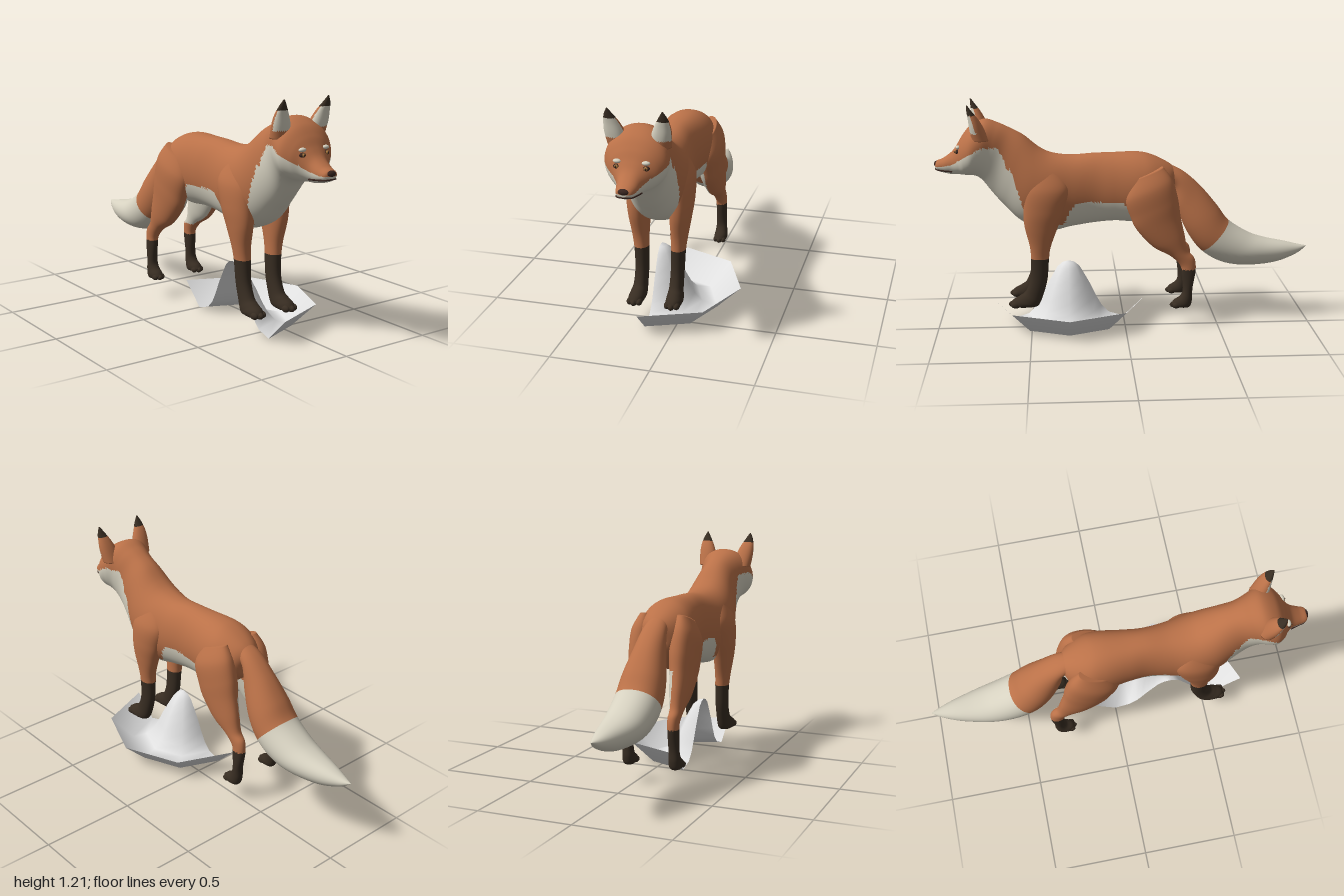
import * as THREE from 'three';

const mat = (name, color, side = THREE.FrontSide) => {
  const m = new THREE.MeshStandardMaterial({ color, side });
  m.name = name;
  return m;
};
const orange = mat('orange fur', 0xba7148);
const cream = mat('cream fur', 0xd6d1c0);
const black = mat('dark fur', 0x382d22);
const noseDark = mat('nose', 0x3a2620);
const amber = mat('iris', 0xa9793f);
const stone = mat('pale ground', 0xe0e0e0, THREE.DoubleSide);
const FUR = [orange, cream, black]; // paint indices 0, 1, 2

// Smooth interpolation through a list of rows
function smoothRows(rows, sub) {
  const out = [], last = rows.length - 1;
  const at = (i) => rows[Math.min(last, Math.max(0, i))];
  for (let i = 0; i < last; i++) {
    for (let k = 0; k < sub; k++) {
      const t = k / sub;
      out.push(rows[0].map((_, c) => {
        const [a, b, d, e] = [at(i - 1)[c], at(i)[c], at(i + 1)[c], at(i + 2)[c]];
        return b + 0.5 * t * (d - a + t * (2 * a - 5 * b + 4 * d - e + t * (3 * (b - d) + e - a)));
      }));
    }
  }
  out.push(rows[last]);
  return out;
}

// Skin over cross-sections [z1, y1, z2, y2, halfWidth, x]; paint picks the fur of each face
function loft(name, rows, paint, side = 1, n = 48, sub = 8) {
  const rings = smoothRows(rows.map((r) => (r.length < 6 ? [...r, 0] : r)), sub);
  const pos = [], faces = [[], [], []];
  for (const [z1, y1, z2, y2, w, x] of rings) {
    for (let j = 0; j < n; j++) {
      const a = (j / n) * Math.PI * 2, c = Math.cos(a) / 2, s = Math.sin(a);
      pos.push(side * x + Math.max(w, 0.001) * Math.sign(s) * Math.abs(s) ** 0.9,
        (y1 + y2) / 2 + (y1 - y2) * c, (z1 + z2) / 2 + (z1 - z2) * c);
    }
  }
  const ends = [rings[0], rings[rings.length - 1]];
  for (const [z1, y1, z2, y2, , x] of ends) pos.push(side * x, (y1 + y2) / 2, (z1 + z2) / 2);
  const tri = (...ids) => {
    const mid = [0, 1, 2].map((k) => ids.reduce((sum, i) => sum + pos[i * 3 + k], 0) / 3);
    const front = mid[2] - rings[Math.min(rings.length - 1, Math.floor(ids[0] / n))].reduce(
      (sum, v, k) => sum + (k === 0 || k === 2 ? v / 2 : 0), 0);
    faces[paint(side * mid[0], mid[1], mid[2], front)].push(...ids);
  };
  const m = rings.length;
  for (let j = 0; j < n; j++) {
    const k = (j + 1) % n;
    for (let i = 0; i < m - 1; i++) {
      tri(i * n + j, (i + 1) * n + j, i * n + k);
      tri((i + 1) * n + j, (i + 1) * n + k, i * n + k);
    }
    tri(m * n, j, k);
    tri(m * n + 1, (m - 1) * n + k, (m - 1) * n + j);
  }
  const g = new THREE.BufferGeometry();
  g.setAttribute('position', new THREE.Float32BufferAttribute(pos, 3));
  g.setIndex(faces.flat());
  let start = 0;
  faces.forEach((f, i) => {
    if (f.length) g.addGroup(start, f.length, i);
    start += f.length;
  });
  g.computeVertexNormals();
  const mesh = new THREE.Mesh(g, FUR);
  mesh.name = name;
  return mesh;
}

function ball(name, material, p, s) {
  const mesh = new THREE.Mesh(new THREE.SphereGeometry(1, 20, 14), material);
  mesh.position.set(...p);
  mesh.scale.set(...s);
  mesh.name = name;
  return mesh;
}

// Rump to nose: top point, bottom point, half width
const BODY = [
  [-.30, .82, -.26, .74, .03], [-.24, .87, -.25, .68, .09], [-.15, .915, -.18, .62, .135],
  [-.07, .932, -.08, .56, .145], [.06, .93, .05, .562, .125], [.16, .928, .16, .553, .115],
  [.28, .92, .28, .535, .13], [.38, .932, .40, .515, .152], [.45, .965, .54, .565, .148],
  [.53, 1.03, .64, .66, .125], [.60, 1.068, .70, .73, .115], [.66, 1.095, .745, .79, .127],
  [.73, 1.115, .775, .815, .148], [.80, 1.085, .80, .822, .152], [.845, 1.035, .835, .823, .125],
  [.875, .985, .865, .825, .088], [.905, .945, .90, .825, .062], [.95, .912, .94, .832, .05],
  [.985, .897, .98, .845, .038], [.995, .885, .995, .86, .015],
];
// Tip to root
const TAIL = [
  [-1, .4, -1, .398, .002], [-.955, .408, -.94, .355, .03], [-.88, .425, -.82, .313, .065],
  [-.76, .45, -.66, .302, .1], [-.67, .484, -.53, .323, .115], [-.566, .553, -.42, .388, .12],
  [-.5, .64, -.34, .495, .112], [-.41, .745, -.287, .63, .085], [-.31, .83, -.27, .74, .065],
  [-.20, .88, -.22, .78, .05],
];
// Top to toe: front point, back point, half width, distance from the middle
const FRONT_LEG = [
  [.50, .84, .35, .86, .03, .095], [.53, .75, .29, .76, .062, .105], [.535, .65, .32, .64, .063, .107],
  [.53, .56, .36, .54, .053, .106], [.505, .45, .395, .44, .042, .1], [.50, .37, .405, .37, .037, .095],
  [.505, .27, .415, .26, .034, .093], [.53, .2, .44, .17, .035, .093], [.56, .175, .46, .125, .04, .095],
  [.595, .155, .48, .113, .042, .097], [.615, .13, .53, .11, .036, .097],
];
const HIND_LEG = [
  [-.03, .80, -.2, .87, .04, .1], [0, .70, -.25, .80, .068, .11], [-.03, .60, -.28, .70, .07, .111],
  [-.065, .53, -.295, .60, .062, .114], [-.15, .44, -.315, .51, .05, .118], [-.24, .39, -.335, .42, .036, .12],
  [-.295, .335, -.37, .375, .03, .122], [-.303, .28, -.378, .31, .028, .124], [-.31, .2, -.362, .21, .028, .126],
  [-.295, .165, -.36, .145, .032, .127], [-.265, .145, -.345, .105, .036, .128], [-.248, .125, -.30, .102, .03, .128],
];
// Tip to base
const EAR = [
  [.812, 1.205, .806, 1.205, .003, .13], [.81, 1.17, .785, 1.175, .021, .128],
  [.805, 1.13, .755, 1.135, .037, .121], [.80, 1.08, .73, 1.09, .048, .112], [.79, 1.02, .70, 1.02, .052, .1],
];

// Height of the border between orange face and cream cheek, by z
const CHEEK = [[.62, .9], [.66, .98], [.75, .985], [.84, .93], [.9, .885], [.97, .868], [1.01, .86]];
function cheekLine(z) {
  const i = Math.max(1, CHEEK.findIndex((p) => p[0] >= z));
  const [a, b] = [CHEEK[i - 1], CHEEK[i]];
  return a[1] + (b[1] - a[1]) * (z - a[0]) / (b[0] - a[0]);
}
function paintBody(x, y, z) {
  if (z > .62 && y < cheekLine(z)) return 1;
  if (y < .87 && z > .5 + (y - .55) * .3) return 1;
  if (z > -.06 && z < .55 && y < .56 && Math.abs(x) < .1) return 1;
  return y < .685 - 14 * Math.max(0, Math.abs(z - .13) - .1) ** 2 ? 1 : 0;
}

export function createModel() {
  const model = new THREE.Group();
  model.name = 'foxOnGround';
  const fox = new THREE.Group();
  fox.name = 'fox';
  fox.position.x = -.108;
  model.add(fox);

  fox.add(loft('bodyAndHead', BODY, paintBody, 1, 72));
  fox.add(loft('tail', TAIL, (x, y, z) => (z < -.57 + (.553 - y) * .9 ? 1 : 0)));

  for (const s of [1, -1]) {
    const tag = s > 0 ? 'left' : 'right';
    fox.add(loft(tag + 'FrontLeg', FRONT_LEG, (x, y) => (y < .38 ? 2 : 0), s));
    fox.add(loft(tag + 'HindLeg', HIND_LEG, (x, y, z) =>
      (y < .315 ? 2 : x < .1 && y > .38 && y < .6 ? 1 : 0), s));
    fox.add(loft(tag + 'Ear', EAR, (x, y, z, front) =>
      (y > 1.155 ? 2 : front > .004 && y > 1.06 ? 1 : 0), s, 32));
    // Toes
    for (const t of [-1, 0, 1]) {
      const back = Math.abs(t) * .012;
      fox.add(ball(tag + 'FrontToe', black, [s * .097 + t * .024, .128, .597 - back], [.016, .018, .026]));
      fox.add(ball(tag + 'HindToe', black, [s * .128 + t * .021, .118, -.262 - back], [.014, .016, .022]));
    }
    // Eye: dark rim, amber iris, pupil and pale brow
    fox.add(ball(tag + 'EyeRim', noseDark, [s * .068, .955, .868], [.018, .012, .014]));
    fox.add(ball(tag + 'Iris', amber, [s * .069, .956, .874], [.011, .009, .012]));
    fox.add(ball(tag + 'Pupil', noseDark, [s * .07, .956, .882], [.005, .006, .006]));
    fox.add(ball(tag + 'Brow', cream, [s * .068, .979, .866], [.02, .01, .013]));
  }

  // Nose and mouth line
  fox.add(ball('nose', noseDark, [0, .88, .982], [.029, .017, .018]));
  const lip = [[-.057, .848, .9], [-.045, .85, .945], [-.033, .853, .98], [0, .856, .993],
    [.033, .853, .98], [.045, .85, .945], [.057, .848, .9]].map((p) => new THREE.Vector3(...p));
  const mouth = new THREE.Mesh(new THREE.TubeGeometry(new THREE.CatmullRomCurve3(lip), 32, .004, 6), noseDark);
  mouth.name = 'mouth';
  fox.add(mouth);

  // Half dish of ground with a mound in its middle
  const profile = [[0, .325], [.03, .318], [.06, .293], [.09, .24], [.12, .185], [.15, .12], [.18, .065],
    [.22, .025], [.3, 0], [.425, .12]].map((p) => new THREE.Vector2(...p));
  const ground = new THREE.Mesh(new THREE.LatheGeometry(profile, 4, 0, Math.PI), stone);
  ground.position.set(-.15, 0, .3);
  ground.name = 'groundPatch';
  model.add(ground);
  return model;
}
